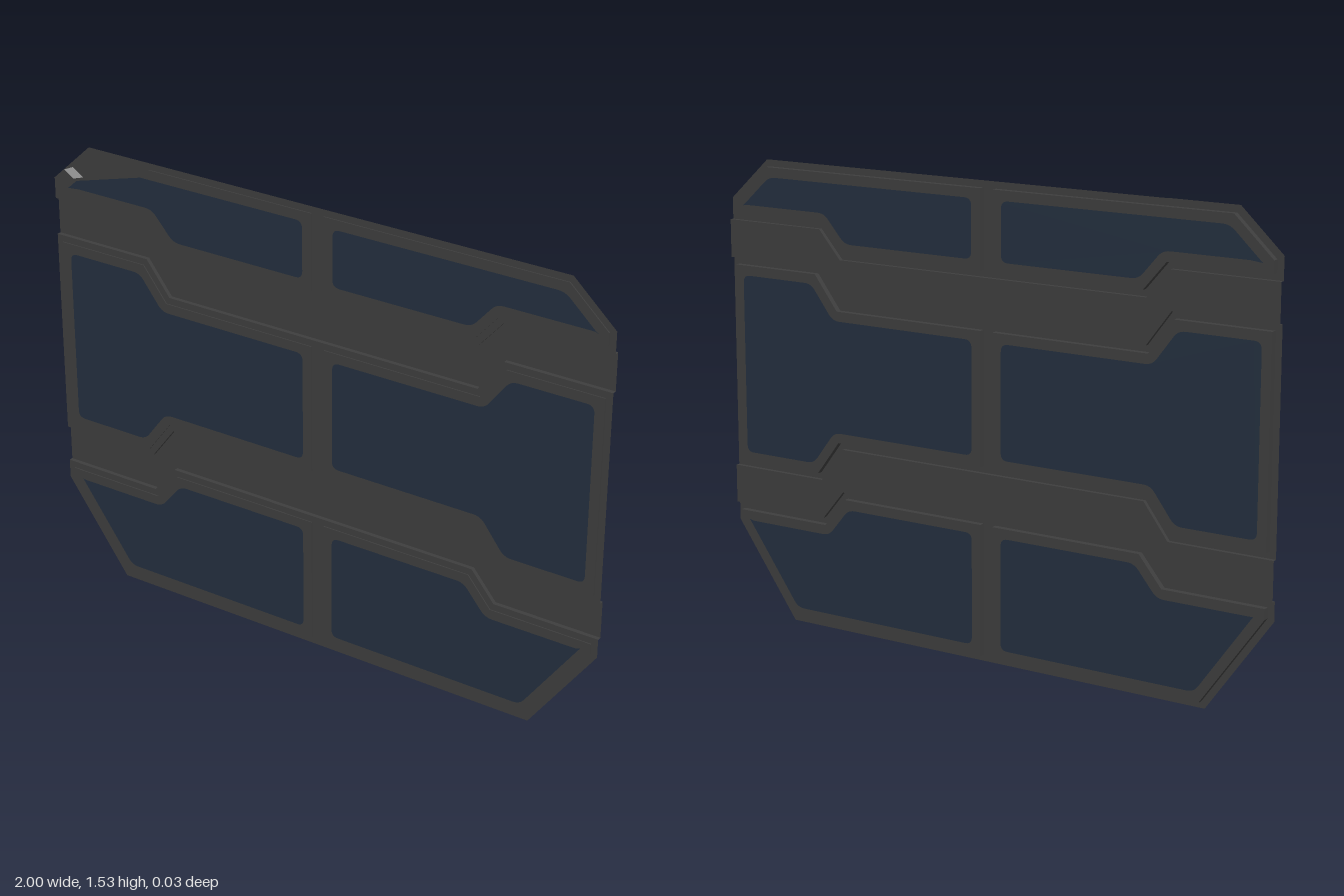
import * as THREE from 'three';

const frameMat = new THREE.MeshStandardMaterial({ color: 0x3e3e3e, side: THREE.DoubleSide });
frameMat.name = 'dark grey metal';
const glassMat = new THREE.MeshStandardMaterial({ color: 0x243040, side: THREE.DoubleSide });
glassMat.name = 'deep blue panel';
const chipMat = new THREE.MeshStandardMaterial({ color: 0xa8a8a8, side: THREE.DoubleSide });
chipMat.name = 'light grey';

const RIM_Z = 0.008, BAND_Z = -0.006, FRAME_Z = 0.0118, GLASS_Z = 0.0124;

// Stepped edges of the bands, from the centre outwards
const edges = {
  lowerBottom: [[0, 0.475], [0.56, 0.475], [0.64, 0.378], [1, 0.378]],
  lowerTop: [[0, 0.618], [0.56, 0.618], [0.645, 0.505], [1, 0.505]],
  upperBottom: [[0, 1.094], [0.56, 1.094], [0.645, 1.206], [1, 1.206]],
  upperTop: [[0, 1.238], [0.56, 1.238], [0.64, 1.33], [1, 1.33]],
};
const back = (p) => [...p].reverse();

// Counter-clockwise outlines of the right-hand half of each row
const rows = {
  bottom: [[0, 0], [0.775, 0], [1, 0.315], ...back(edges.lowerBottom)],
  middle: [...edges.lowerTop, ...back(edges.upperBottom)],
  top: [...edges.upperTop, [1, 1.4], [0.855, 1.535], [0, 1.535]],
};

// Moves every side of a counter-clockwise polygon inwards by d
function inset(pts, d) {
  const n = pts.length;
  return pts.map((p, i) => {
    const a = pts[(i + n - 1) % n], b = pts[(i + 1) % n];
    const normal = (u, v) => {
      const l = Math.hypot(v[0] - u[0], v[1] - u[1]);
      return [-(v[1] - u[1]) / l, (v[0] - u[0]) / l];
    };
    const m = normal(a, p), k = normal(p, b);
    const s = d / (1 + m[0] * k[0] + m[1] * k[1]);
    return [p[0] + (m[0] + k[0]) * s, p[1] + (m[1] + k[1]) * s];
  });
}

const mirrored = (pts) => back(pts.map(([x, y]) => [-x, y]));
const toShape = (pts) => new THREE.Shape(pts.map(([x, y]) => new THREE.Vector2(x, y)));

// Polygon with softened corners
function roundedShape(pts, r) {
  const shape = new THREE.Shape(), n = pts.length;
  pts.forEach((p, i) => {
    const toward = (q) => {
      const l = Math.hypot(q[0] - p[0], q[1] - p[1]);
      const t = Math.min(r / l, 0.45);
      return [p[0] + (q[0] - p[0]) * t, p[1] + (q[1] - p[1]) * t];
    };
    const s = toward(pts[(i + n - 1) % n]), e = toward(pts[(i + 1) % n]);
    if (i === 0) shape.moveTo(...s); else shape.lineTo(...s);
    shape.quadraticCurveTo(...p, ...e);
  });
  shape.closePath();
  return shape;
}

// Upright wall following a path between the band and rim levels
function wallGeometry(path) {
  const pos = [];
  for (let i = 0; i < path.length - 1; i++) {
    const [a, b] = [path[i], path[i + 1]];
    pos.push(...a, BAND_Z, ...b, BAND_Z, ...b, RIM_Z, ...a, BAND_Z, ...b, RIM_Z, ...a, RIM_Z);
  }
  const g = new THREE.BufferGeometry();
  g.setAttribute('position', new THREE.Float32BufferAttribute(pos, 3));
  g.computeVertexNormals();
  return g;
}

export function createModel() {
  const model = new THREE.Group();
  model.name = 'wallPanel';
  const add = (name, geometry, material, z = 0) => {
    const mesh = new THREE.Mesh(geometry, material);
    mesh.name = name;
    mesh.position.z = z;
    model.add(mesh);
  };
  const sheet = (name, shape, material, z) => add(name, new THREE.ShapeGeometry(shape, 6), material, z);

  for (const [side, flip] of [['Left', (p) => p], ['Right', mirrored]]) {
    for (const [row, outline] of Object.entries(rows)) {
      // Thin rim, raised frame and the blue panel on both faces
      sheet(row + 'Rim' + side, toShape(flip(outline)), frameMat, RIM_Z);
      const frame = new THREE.ExtrudeGeometry(toShape(flip(inset(outline, 0.022))),
        { depth: FRAME_Z * 2, bevelEnabled: false });
      add(row + 'Frame' + side, frame, frameMat, -FRAME_Z);
      const pane = roundedShape(flip(inset(outline, 0.054)), 0.025);
      sheet(row + 'PaneFront' + side, pane, glassMat, GLASS_Z);
      sheet(row + 'PaneBack' + side, pane, glassMat, -GLASS_Z);
    }
    // Recessed bands and their walls
    sheet('lowerBand' + side, toShape(flip([...edges.lowerBottom, ...back(edges.lowerTop)])), frameMat, BAND_Z);
    sheet('upperBand' + side, toShape(flip([...edges.upperBottom, ...back(edges.upperTop)])), frameMat, BAND_Z);
    for (const [name, path] of Object.entries(edges))
      add(name + 'Wall' + side, wallGeometry(flip(path)), frameMat);
  }

  // Corner plate over the upper right panel, with a light chip
  sheet('cornerPlate', toShape([[-1, 1.4], [-0.95, 1.4], [-0.66, 1.48], [-0.62, 1.515],
    [-0.62, 1.535], [-0.855, 1.535]]), frameMat, 0.0128);
  const chip = toShape([[-0.955, 1.44], [-0.92, 1.456], [-0.88, 1.43], [-0.92, 1.417]]);
  sheet('cornerChip', chip, chipMat, 0.0132);
  return model;
}
